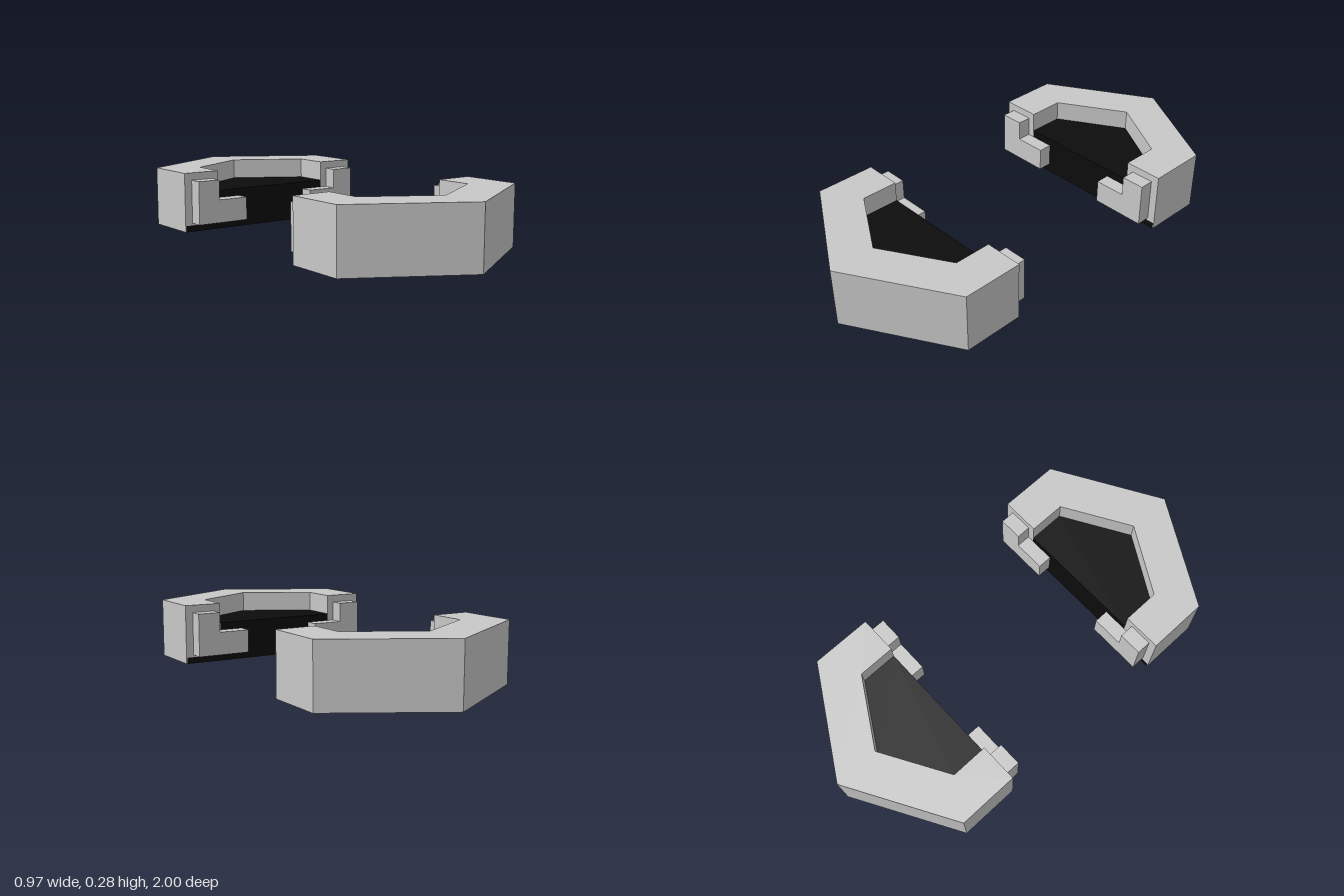
import * as THREE from 'three';

const H = 0.28, FLOOR = 0.185, END = 0.437;
// Half-hexagon plan outlines, [x, z], running from -x round the tip to +x
const OUTER = [[-0.487, END], [-0.487, 0.717], [0, 1], [0.487, 0.717], [0.487, END]];
const INNER = [[-0.307, END], [-0.307, 0.61], [0, 0.79], [0.307, 0.61], [0.307, END]];

export function createModel() {
  const gray = new THREE.MeshStandardMaterial({ color: 0xc8c8c8, side: THREE.DoubleSide });
  gray.name = 'light gray';
  const black = new THREE.MeshStandardMaterial({ color: 0x0c0c0c, side: THREE.DoubleSide });
  black.name = 'black';

  function add(parent, name, geometry, material) {
    const mesh = new THREE.Mesh(geometry, material);
    mesh.name = name;
    parent.add(mesh);
    return mesh;
  }

  // Upright panel standing on the line a-b, facing right of the direction of travel's front
  function wall(parent, name, a, b, y0, y1, material) {
    const dx = b[0] - a[0], dz = b[1] - a[1];
    const mesh = add(parent, name, new THREE.PlaneGeometry(Math.hypot(dx, dz), y1 - y0), material);
    mesh.position.set((a[0] + b[0]) / 2, (y0 + y1) / 2, (a[1] + b[1]) / 2);
    mesh.rotation.y = Math.atan2(-dz, dx);
  }

  // Level panel with the given plan outline
  function level(parent, name, outline, y, material) {
    const shape = new THREE.Shape(outline.map(([x, z]) => new THREE.Vector2(x, -z)));
    const geometry = new THREE.ShapeGeometry(shape).rotateX(-Math.PI / 2);
    add(parent, name, geometry, material).position.y = y;
  }

  function createHalf(name) {
    const half = new THREE.Group();
    half.name = name;

    // Hollow rim, open underneath
    level(half, 'rimTop', [...OUTER, ...[...INNER].reverse()], H, gray);
    for (let i = 0; i < 4; i++) {
      wall(half, 'outerWall', OUTER[i], OUTER[i + 1], 0, H, gray);
      wall(half, 'innerWall', INNER[i + 1], INNER[i], FLOOR, H, gray);
    }

    // Dark recessed floor and the panel below its open edge
    level(half, 'floor', INNER, FLOOR, black);
    wall(half, 'floorFront', INNER[4], INNER[0], 0, FLOOR, black);
    wall(half, 'lowerStrip', [0.485, END - 0.003], [-0.485, END - 0.003], 0, 0.03, black);

    for (const s of [-1, 1]) {
      // End of each rim arm
      const ends = [[s * 0.487, END], [s * 0.307, END]];
      if (s < 0) ends.reverse();
      wall(half, 'rimEnd', ends[0], ends[1], 0, H, gray);

      // L-shaped connector: low arm inward, tall post outward
      const profile = [[0.19, 0.04], [0.45, 0.04], [0.45, 0.245], [0.34, 0.245], [0.34, 0.15], [0.19, 0.15]];
      const shape = new THREE.Shape(profile.map(([x, y]) => new THREE.Vector2(s * x, y)));
      const geometry = new THREE.ExtrudeGeometry(shape, { depth: 0.067, bevelEnabled: false });
      add(half, 'connector', geometry, gray).position.z = 0.37;
    }
    return half;
  }

  const model = new THREE.Group();
  model.name = 'hexagonalTrayHalves';
  const back = createHalf('backHalf');
  back.rotation.y = Math.PI;
  model.add(createHalf('frontHalf'), back);
  return model;
}
